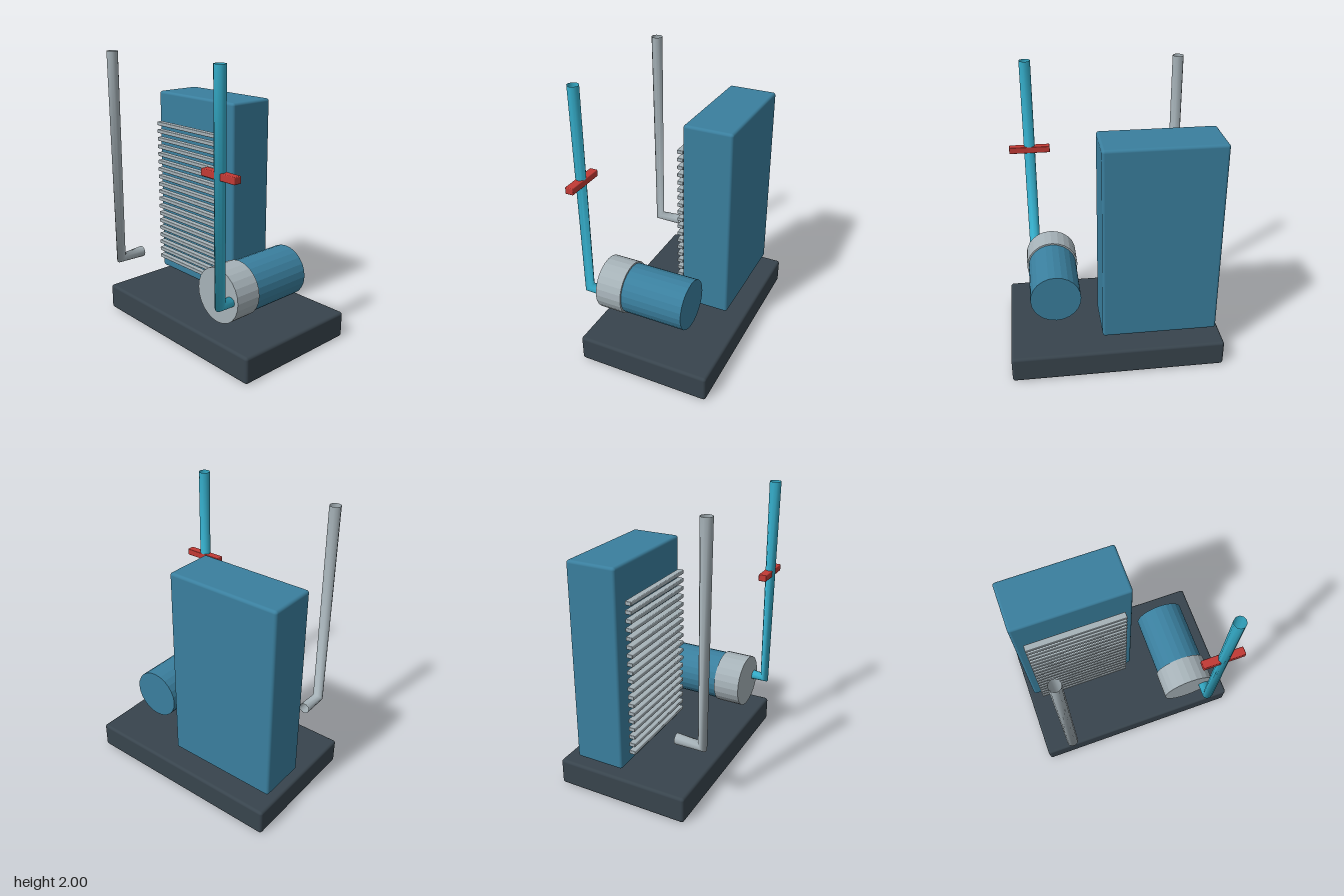
import * as THREE from 'three';
import { RoundedBoxGeometry } from 'three/addons/geometries/RoundedBoxGeometry.js';

const material = (color, options = {}) => new THREE.MeshStandardMaterial({ color, ...options });

// Pipe centre line with one sharp elbow: out of the unit, then straight up.
class ElbowPath extends THREE.Curve {
  constructor(points) {
    super();
    this.points = points;
  }
  getPointAt(u, target = new THREE.Vector3()) {
    return target.copy(this.points[Math.round(u * 2)]);
  }
  getTangentAt(u, target = new THREE.Vector3()) {
    const [start, elbow, end] = this.points;
    const first = elbow.clone().sub(start).normalize();
    const second = end.clone().sub(elbow).normalize();
    const i = Math.round(u * 2);
    if (i === 0) return target.copy(first);
    if (i === 2) return target.copy(second);
    return target.copy(first).add(second).normalize();
  }
}

export function createModel() {
  const model = new THREE.Group();
  model.name = 'coolingUnit';

  const dark = material(0x38444d);
  const blue = material(0x3a7f9e);
  const blueFlat = material(0x3a7f9e, { flatShading: true });
  const steel = material(0xa6b2b8);
  const steelFlat = material(0xa6b2b8, { flatShading: true });
  const red = material(0xc23a35);
  const pipeSteel = material(0xa6b2b8, { side: THREE.DoubleSide });
  const pipeCyan = material(0x35aecb, { side: THREE.DoubleSide });

  const add = (name, geometry, mat, x, y, z, parent = model) => {
    const mesh = new THREE.Mesh(geometry, mat);
    mesh.name = name;
    mesh.position.set(x, y, z);
    parent.add(mesh);
    return mesh;
  };

  // Plinth and cabinet
  add('base', new RoundedBoxGeometry(1.51, 0.19, 0.965, 3, 0.02), dark, 0, 0.095, -0.035);
  add('cabinet', new RoundedBoxGeometry(0.82, 1.425, 0.355, 3, 0.02), blue, -0.305, 0.9475, -0.2175);

  // Row of cooling fins in front of the cabinet
  const fins = new THREE.Group();
  fins.name = 'coolingFins';
  model.add(fins);
  const finGeometry = new RoundedBoxGeometry(0.697, 0.028, 0.045, 2, 0.005);
  for (let i = 0; i < 19; i++) {
    add(`fin${i + 1}`, finGeometry, steel, -0.307, 0.355 + i * 0.0595, 0.011, fins);
  }

  // Pump: motor drum and casing lying along z
  const drum = (radius, length) => new THREE.CylinderGeometry(radius, radius, length, 24).rotateX(Math.PI / 2);
  add('pumpMotor', drum(0.18, 0.455), blueFlat, 0.422, 0.49, -0.0325);
  add('pumpCasing', drum(0.191, 0.193), steelFlat, 0.422, 0.49, 0.293);

  // Inlet and outlet pipes, open at both ends
  const pipe = (name, x, mat) => {
    const path = new ElbowPath([
      new THREE.Vector3(0, 0.49, 0.29),
      new THREE.Vector3(0, 0.487, 0.48),
      new THREE.Vector3(0, 2, 0.48),
    ]);
    add(name, new THREE.TubeGeometry(path, 2, 0.04, 10), mat, x, 0, 0);
  };
  pipe('returnPipe', -0.547, pipeSteel);
  pipe('supplyPipe', 0.543, pipeCyan);

  // Valve handle crossing the supply pipe
  add('valveHandle', new RoundedBoxGeometry(0.297, 0.048, 0.058, 2, 0.006), red, 0.543, 1.34, 0.475);

  return model;
}
